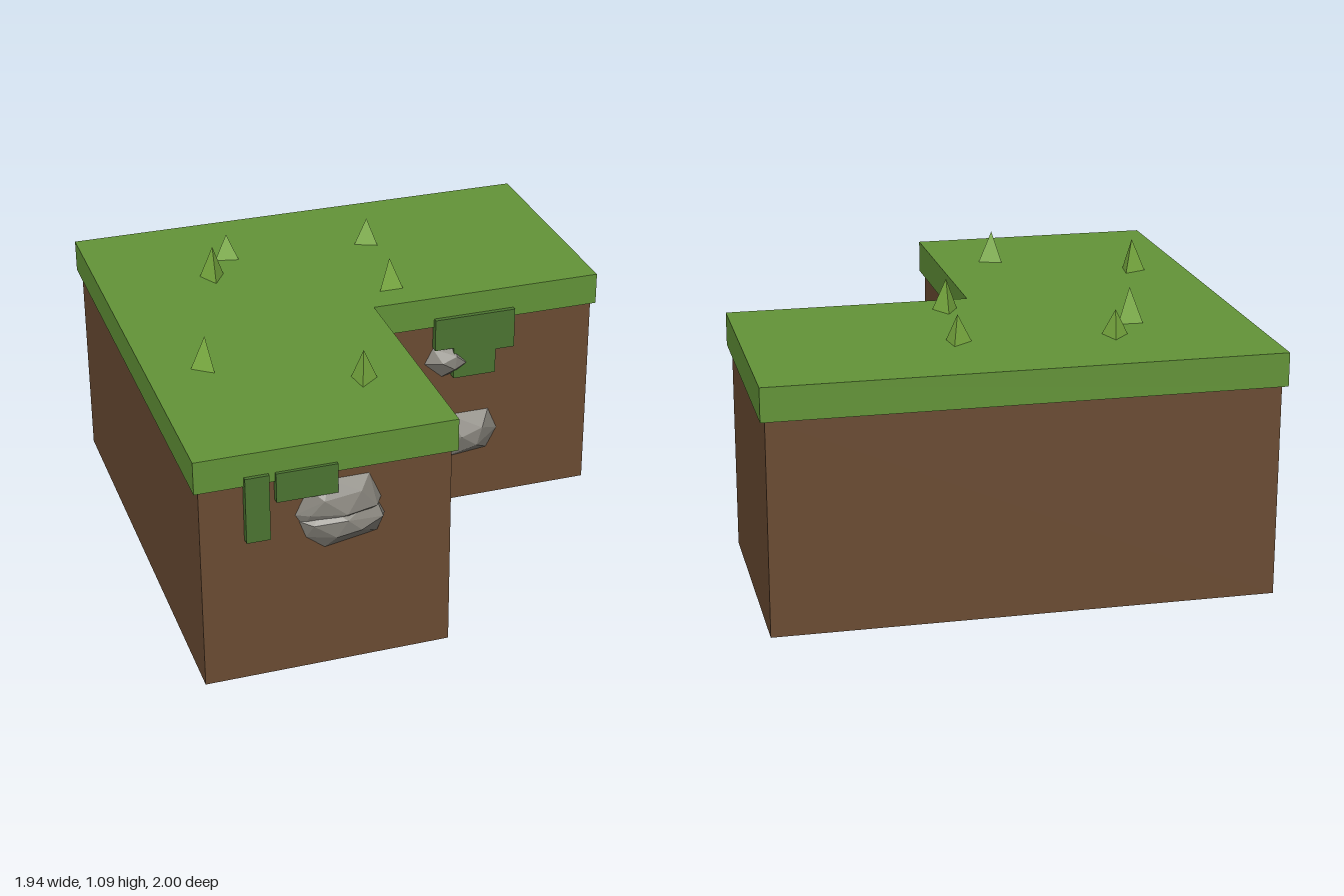
import * as THREE from 'three';
import { ConvexGeometry } from 'three/addons/geometries/ConvexGeometry.js';

const material = (color) => new THREE.MeshStandardMaterial({ color, flatShading: true });
const grassMat = material(0x639438);
const bladeMat = material(0x7aad40);
const vineMat = material(0x4c7531);
const dirtMat = material(0x6b4c33);
const rockMat = material(0x85827a);

// Outline points (x, up) pushed out by a depth
function slab(points, depth) {
  const shape = new THREE.Shape(points.map(([x, y]) => new THREE.Vector2(x, y)));
  return new THREE.ExtrudeGeometry(shape, { depth, bevelEnabled: false });
}

// L-shaped layer: outer x half-width, inner corner, z limits, y limits
function lLayer(halfX, cornerX, back, cornerZ, front, y0, y1) {
  const plan = [[-halfX, front], [cornerX, front], [cornerX, cornerZ],
    [halfX, cornerZ], [halfX, back], [-halfX, back]];
  return slab(plan.map(([x, z]) => [x, -z]), y1 - y0)
    .rotateX(-Math.PI / 2).translate(0, y0, 0);
}

// Faceted stone: rim outline on a wall, front facet corners, buried back corners
function rock(rim, rimZ, tips) {
  const points = rim.map(([x, y]) => new THREE.Vector3(x, y, rimZ));
  const centre = points.reduce((sum, p) => sum.add(p), new THREE.Vector3()).divideScalar(rim.length);
  const buried = points.map((p) => p.clone().lerp(centre, 0.4).setZ(rimZ - 0.06));
  return new ConvexGeometry([...points, ...buried, ...tips.map((t) => new THREE.Vector3(...t))]);
}

export function createModel() {
  const model = new THREE.Group();
  const add = (name, geometry, mat) => {
    const mesh = new THREE.Mesh(geometry, mat);
    mesh.name = name;
    model.add(mesh);
    return mesh;
  };

  // Soil block and overhanging turf
  add('dirt', lLayer(0.954, -0.005, -0.98, -0.026, 0.93, 0, 0.83), dirtMat);
  add('turf', lLayer(0.972, 0.016, -1, -0.012, 0.945, 0.823, 0.952), grassMat);

  // Grass tufts: x, z, height, turn
  [
    [-0.411, -0.648, 0.105, -1.27],
    [-0.515, -0.475, 0.14, -0.04],
    [0.183, -0.607, 0.11, -1.45],
    [0.133, -0.168, 0.13, 3.14],
    [-0.745, 0.272, 0.135, -1.7],
    [-0.215, 0.554, 0.128, 1.72],
  ].forEach(([x, z, height, turn], i) => {
    const blade = add(`grassBlade${i + 1}`, new THREE.ConeGeometry(0.057, height, 3), bladeMat);
    blade.position.set(x, 0.95 + height / 2, z);
    blade.rotation.y = turn;
  });

  // Hanging moss on the front walls
  const moss = (name, points, z) => add(name, slab(points, 0.04).translate(0, 0, z - 0.04), vineMat);
  moss('longMoss', [[-0.79, 0.595], [-0.7, 0.595], [-0.7, 0.86], [-0.79, 0.86]], 0.96);
  moss('shortMoss', [[-0.675, 0.742], [-0.445, 0.742], [-0.445, 0.86], [-0.675, 0.86]], 0.958);
  moss('steppedMoss', [[0.27, 0.725], [0.35, 0.725], [0.35, 0.588], [0.53, 0.588],
    [0.53, 0.692], [0.61, 0.692], [0.61, 0.86], [0.27, 0.86]], 0.007);

  // Large cracked stone made of two interlocking pieces
  add('largeRockUpper', rock(
    [[-0.6, 0.66], [-0.55, 0.76], [-0.47, 0.785], [-0.32, 0.785], [-0.275, 0.68], [-0.4, 0.6], [-0.57, 0.61]], 0.93,
    [[-0.5, 0.72, 0.97], [-0.36, 0.735, 0.965], [-0.42, 0.66, 0.99], [-0.3, 0.665, 0.965], [-0.55, 0.66, 0.957]],
  ), rockMat);
  add('largeRockLower', rock(
    [[-0.585, 0.63], [-0.5, 0.68], [-0.3, 0.69], [-0.262, 0.61], [-0.29, 0.54], [-0.49, 0.505], [-0.56, 0.56]], 0.93,
    [[-0.54, 0.62, 0.965], [-0.42, 0.64, 0.998], [-0.37, 0.595, 1], [-0.28, 0.62, 0.972], [-0.46, 0.57, 0.985]],
  ), rockMat);

  // Small stones on the recessed wall
  add('lowerRock', rock(
    [[0.34, 0.405], [0.515, 0.405], [0.555, 0.31], [0.51, 0.225], [0.335, 0.207], [0.29, 0.31]], -0.024,
    [[0.385, 0.315, 0.025], [0.475, 0.345, 0.022], [0.45, 0.27, 0.028]],
  ), rockMat);
  add('upperRock', rock(
    [[0.235, 0.655], [0.27, 0.72], [0.36, 0.725], [0.42, 0.66], [0.39, 0.605], [0.31, 0.587]], -0.024,
    [[0.3, 0.665, 0.016], [0.36, 0.69, 0.018], [0.35, 0.635, 0.022], [0.4, 0.655, 0.012]],
  ), rockMat);

  return model;
}
